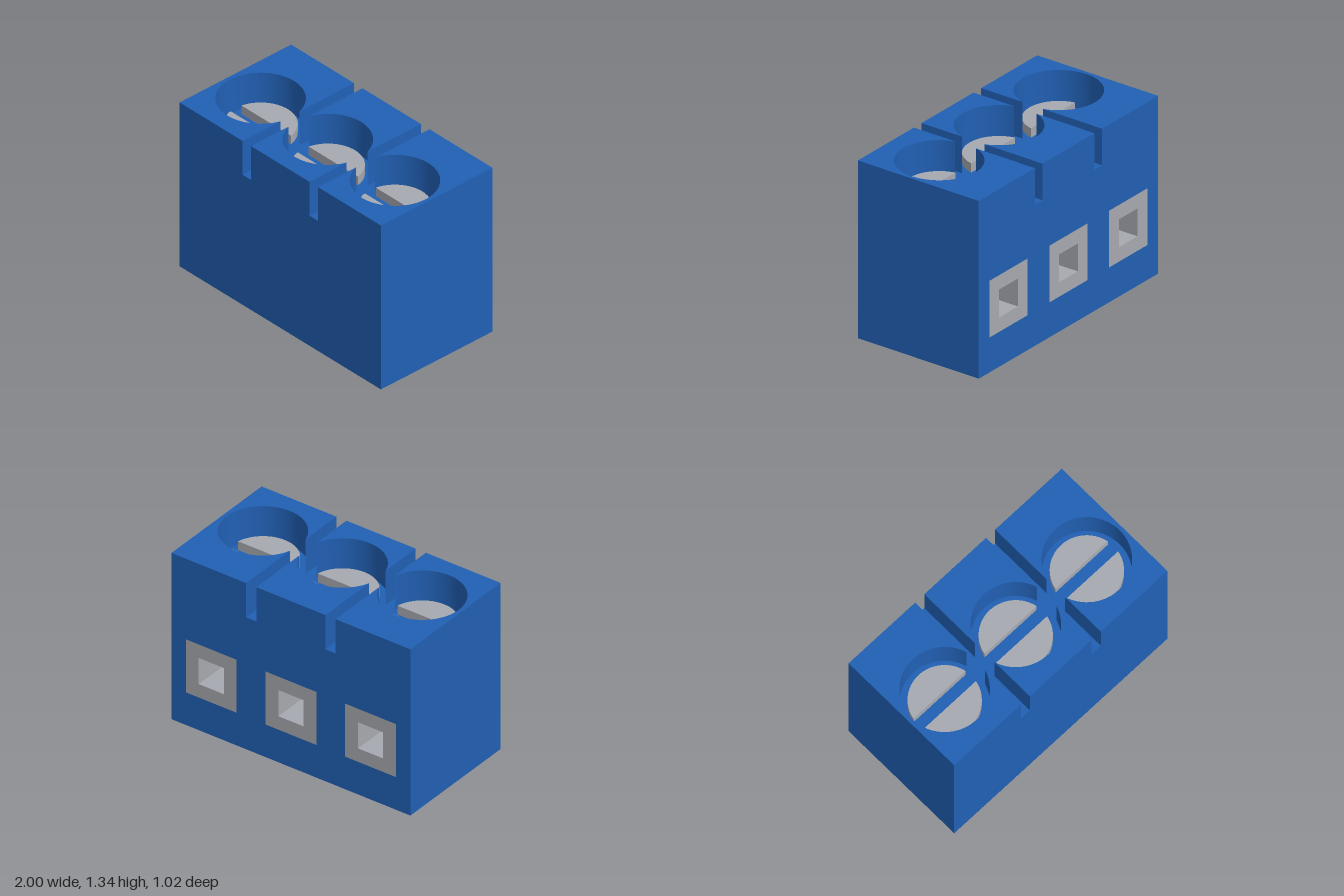
import * as THREE from 'three';
import { toCreasedNormals } from 'three/addons/utils/BufferGeometryUtils.js';

const W = 1, D = 0.51, TOP = 1.335, FLOOR = 1.06;   // half width, half depth, heights
const PITCH = 0.667, WELL_R = 0.305, WELL_Z = 0.075;
const SLOT_IN = 0.29, SLOT_OUT = 0.375;
const TUNNEL = 0.7;

export function createModel() {
  const blue = new THREE.MeshStandardMaterial({ color: 0x2160b4 });
  blue.name = 'blue plastic';
  const grey = new THREE.MeshStandardMaterial({ color: 0xa6a9b0 });
  grey.name = 'grey metal';
  const model = new THREE.Group();
  model.name = 'terminalBlock';

  const add = (name, geometry, material) => {
    const mesh = new THREE.Mesh(geometry, material);
    mesh.name = name;
    model.add(mesh);
    return mesh;
  };
  const square = (Type, cx, cy, h) => new Type([[-h, -h], [h, -h], [h, h], [-h, h]]
    .map(([x, y]) => new THREE.Vector2(cx + x, cy + y)));
  // Arc points in plan, where plan y is -z
  const arc = (cx, r, a0, a1, n = 48) => Array.from({ length: n + 1 }, (_, i) => {
    const a = a0 + (a1 - a0) * i / n;
    return [cx + r * Math.cos(a), -WELL_Z + r * Math.sin(a)];
  });
  // Upright prism from a plan outline
  const prism = (points, y0, y1) => {
    const shape = new THREE.Shape(points.map(([x, y]) => new THREE.Vector2(x, y)));
    const g = new THREE.ExtrudeGeometry(shape, { depth: y1 - y0, bevelEnabled: false });
    g.rotateX(-Math.PI / 2).translate(0, y0, 0);
    return toCreasedNormals(g, 0.5);
  };

  // Lower housing: rear part pierced by wire openings, solid front part
  const centres = [-PITCH, 0, PITCH];
  const rear = new THREE.Shape([[-W, 0], [W, 0], [W, FLOOR], [-W, FLOOR]]
    .map(([x, y]) => new THREE.Vector2(x, y)));
  centres.forEach((x) => rear.holes.push(square(THREE.Path, x, 0.475, 0.213)));
  add('rearHousing', new THREE.ExtrudeGeometry(rear, { depth: TUNNEL, bevelEnabled: false })
    .translate(0, 0, -D), blue);
  const frontDepth = 2 * D - TUNNEL;
  add('frontHousing', new THREE.BoxGeometry(2 * W, FLOOR, frontDepth)
    .translate(0, FLOOR / 2, D - frontDepth / 2), blue);

  // Outer upper blocks, each with a round well open to the slot
  const outerA = Math.acos((PITCH - SLOT_OUT) / WELL_R);
  const outer = [[SLOT_OUT, -D], [W, -D], [W, D], [SLOT_OUT, D],
    ...arc(PITCH, WELL_R, Math.PI - outerA, -Math.PI + outerA, 72)];
  for (const s of [1, -1]) {
    add(s > 0 ? 'leftUpperBlock' : 'rightUpperBlock',
      prism(outer.map(([x, y]) => [s * x, y]), FLOOR, TOP), blue);
  }

  // Middle upper block, parted by its well
  const midA = Math.acos(SLOT_IN / WELL_R);
  add('middleBackBlock', prism([[SLOT_IN, D], [-SLOT_IN, D],
    ...arc(0, WELL_R, Math.PI - midA, midA)], FLOOR, TOP), blue);
  add('middleFrontBlock', prism([[-SLOT_IN, -D], [SLOT_IN, -D],
    ...arc(0, WELL_R, -midA, -Math.PI + midA)], FLOOR, TOP), blue);

  // Slotted screws and square wire clamps
  const screwA = Math.asin(0.05 / 0.25);
  centres.forEach((x) => {
    add('screwHalfBack', prism(arc(x, 0.25, screwA, Math.PI - screwA), FLOOR, 1.13), grey);
    add('screwHalfFront', prism(arc(x, 0.25, -Math.PI + screwA, -screwA), FLOOR, 1.13), grey);

    const clamp = square(THREE.Shape, x, 0.475, 0.213);
    clamp.holes.push(square(THREE.Path, x, 0.475, 0.105));
    add('wireClamp', new THREE.ExtrudeGeometry(clamp, { depth: TUNNEL, bevelEnabled: false })
      .translate(0, 0, -D), grey);
    add('clampEnd', new THREE.BoxGeometry(0.22, 0.22, 0.008)
      .translate(x, 0.475, -D + TUNNEL - 0.005), grey);
  });
  return model;
}
